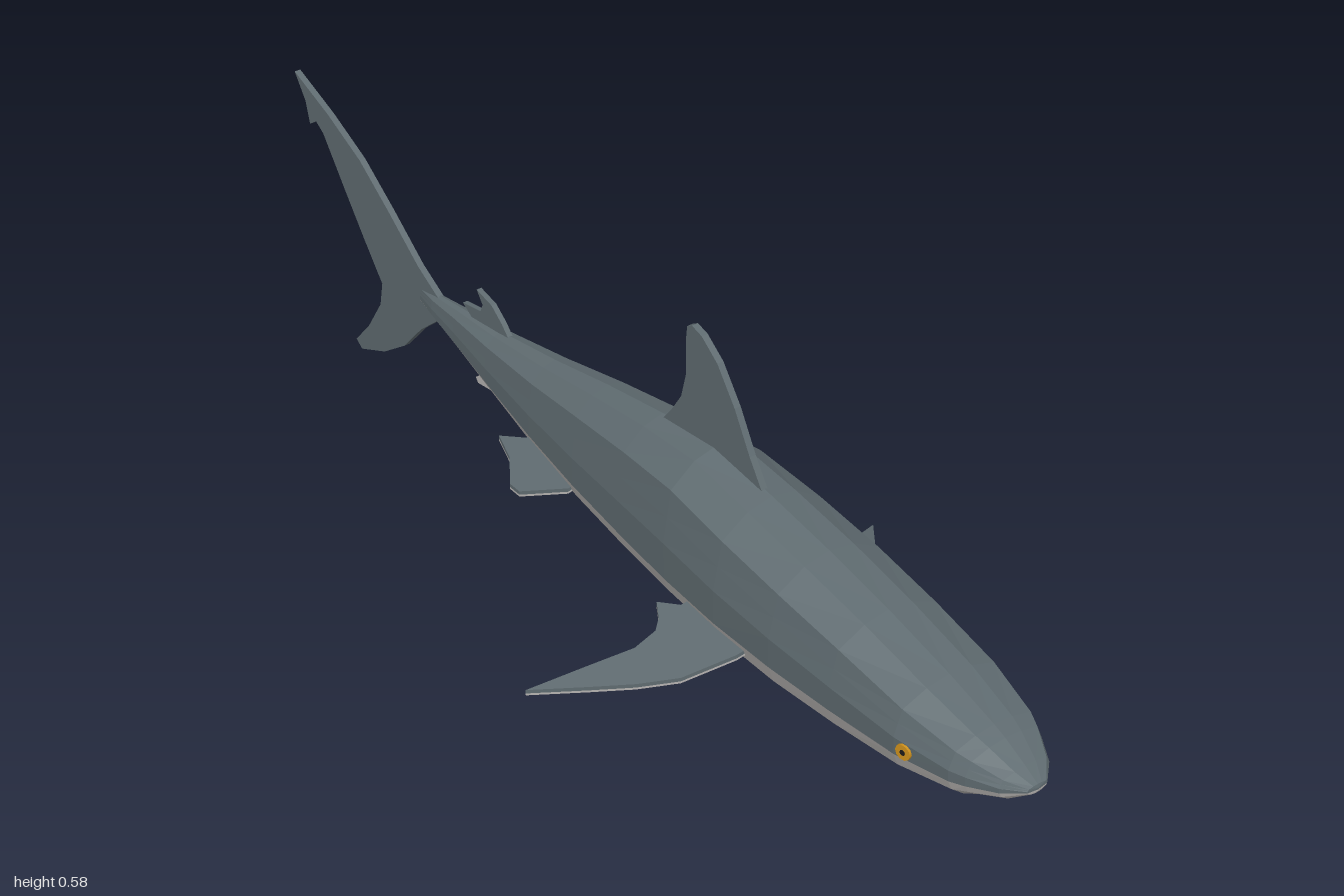
import * as THREE from 'three';

const material = (name, color) => {
  const m = new THREE.MeshStandardMaterial({ color });
  m.name = name;
  return m;
};

// Body stations from nose to tail: z, half width, top, colour line, bottom
const STATIONS = [
  [1.0, 0.0, 0.2, 0.197, 0.194],
  [0.998, 0.02, 0.206, 0.198, 0.19],
  [0.97, 0.05, 0.222, 0.194, 0.168],
  [0.925, 0.076, 0.244, 0.189, 0.15],
  [0.9, 0.087, 0.253, 0.187, 0.134],
  [0.8, 0.106, 0.282, 0.18, 0.11],
  [0.66, 0.113, 0.315, 0.172, 0.09],
  [0.52, 0.117, 0.341, 0.166, 0.077],
  [0.38, 0.115, 0.362, 0.162, 0.077],
  [0.24, 0.106, 0.379, 0.16, 0.083],
  [0.1, 0.092, 0.364, 0.16, 0.088],
  [-0.05, 0.076, 0.338, 0.163, 0.1],
  [-0.2, 0.058, 0.307, 0.172, 0.126],
  [-0.36, 0.037, 0.28, 0.188, 0.165],
  [-0.48, 0.022, 0.266, 0.204, 0.193],
  [-0.56, 0.014, 0.255, 0.216, 0.21],
  [-0.62, 0.004, 0.25, 0.222, 0.218],
];
// Half cross-sections: share of width, share of height away from the colour line
const BACK = [[0, 1], [0.42, 0.95], [0.86, 0.78], [0.93, 0.55], [1, 0.33], [0.98, 0]];
const BELLY = [[0.98, 0], [0.88, 0.38], [0.6, 0.78], [0.3, 0.95], [0, 1]];

// Faceted skin over both sides of the body
function skin(section, limit) {
  const positions = [];
  for (const side of [1, -1]) {
    const point = (s, [fx, fy]) =>
      [side * fx * s[1], s[3] + fy * (s[limit] - s[3]), s[0]];
    for (let j = 0; j < STATIONS.length - 1; j++) {
      for (let i = 0; i < section.length - 1; i++) {
        const a = point(STATIONS[j], section[i]);
        const b = point(STATIONS[j], section[i + 1]);
        const c = point(STATIONS[j + 1], section[i + 1]);
        const d = point(STATIONS[j + 1], section[i]);
        const faces = side > 0 ? [a, b, c, a, c, d] : [a, c, b, a, d, c];
        for (const p of faces) positions.push(...p);
      }
    }
  }
  const g = new THREE.BufferGeometry();
  g.setAttribute('position', new THREE.Float32BufferAttribute(positions, 3));
  g.computeVertexNormals();
  return g;
}

function plate(points, depth) {
  const shape = new THREE.Shape(points.map(([x, y]) => new THREE.Vector2(x, y)));
  return new THREE.ExtrudeGeometry(shape, { depth, bevelEnabled: false });
}

// Upright fin from a (z, y) outline
function uprightFin(points, thickness = 0.012) {
  return plate(points, thickness).translate(0, 0, -thickness / 2).rotateY(-Math.PI / 2);
}

// Sloping side fin from an (x, z) outline; its top face starts at height y
function sideFin(points, side, y, slope, rootX, thickness) {
  const g = plate(points.map(([x, z]) => [x * side, z]), thickness).rotateX(Math.PI / 2);
  const p = g.attributes.position;
  for (let i = 0; i < p.count; i++) {
    p.setY(i, p.getY(i) + y - slope * (Math.abs(p.getX(i)) - rootX));
  }
  g.computeVertexNormals();
  return g;
}

export function createModel() {
  const grey = material('slate grey', 0x5f6b70);
  const pale = material('pale belly', 0xb5b2b0);
  const amber = material('amber eye', 0xd0921c);
  const black = material('dark pupil', 0x1c1a18);

  const model = new THREE.Group();
  model.name = 'shark';
  const add = (name, geometry, mat, parent = model) => {
    const mesh = new THREE.Mesh(geometry, mat);
    mesh.name = name;
    parent.add(mesh);
    return mesh;
  };

  // Body
  add('back', skin(BACK, 2), grey);
  add('belly', skin(BELLY, 4), pale);

  // Upright fins
  add('dorsalFin', uprightFin([
    [0.37, 0.35], [0.33, 0.41], [0.29, 0.48], [0.245, 0.54], [0.205, 0.57], [0.18, 0.577],
    [0.168, 0.57], [0.165, 0.54], [0.167, 0.48], [0.155, 0.43], [0.13, 0.39], [0.1, 0.35],
  ]), grey);
  add('secondDorsalFin', uprightFin([
    [-0.32, 0.27], [-0.35, 0.302], [-0.38, 0.325], [-0.425, 0.335], [-0.408, 0.312],
    [-0.415, 0.295], [-0.47, 0.285], [-0.43, 0.26],
  ], 0.01), grey);
  add('analFin', uprightFin([
    [-0.32, 0.19], [-0.345, 0.162], [-0.38, 0.143], [-0.43, 0.136], [-0.437, 0.145],
    [-0.41, 0.163], [-0.42, 0.2],
  ], 0.01), pale);
  add('tailFin', uprightFin([
    [-0.54, 0.25], [-0.61, 0.29], [-0.7, 0.36], [-0.79, 0.425], [-0.89, 0.473], [-1, 0.515],
    [-0.968, 0.468], [-0.957, 0.425], [-0.935, 0.44], [-0.912, 0.425], [-0.85, 0.34],
    [-0.79, 0.26], [-0.735, 0.19], [-0.745, 0.14], [-0.79, 0.07], [-0.838, 0.015],
    [-0.82, 0.002], [-0.74, 0.038], [-0.67, 0.088], [-0.61, 0.155], [-0.54, 0.215],
  ]), grey);

  const pectoral = [
    [0.08, 0.46], [0.12, 0.45], [0.2, 0.41], [0.25, 0.36], [0.3, 0.3], [0.365, 0.22],
    [0.28, 0.265], [0.21, 0.303], [0.17, 0.305], [0.152, 0.29], [0.135, 0.262],
    [0.115, 0.3], [0.08, 0.31],
  ];
  const pelvic = [
    [0.045, -0.05], [0.072, -0.065], [0.114, -0.15], [0.114, -0.178], [0.088, -0.215],
    [0.075, -0.265], [0.055, -0.21], [0.035, -0.2],
  ];

  for (const side of [1, -1]) {
    const label = side > 0 ? 'left' : 'right';

    // Paired fins, grey above and pale beneath
    for (const [name, outline, y, slope, rootX] of [
      ['PectoralFin', pectoral, 0.156, 0.42, 0.1],
      ['PelvicFin', pelvic, 0.158, 0.9, 0.06],
    ]) {
      const fin = new THREE.Group();
      fin.name = label + name;
      add('finTop', sideFin(outline, side, y, slope, rootX, 0.007), grey, fin);
      add('finUnderside', sideFin(outline, side, y - 0.007, slope, rootX, 0.004), pale, fin);
      model.add(fin);
    }

    // Eye set into the side of the head, turned slightly forward
    const eye = new THREE.Group();
    eye.name = label + 'Eye';
    add('iris', new THREE.CylinderGeometry(0.014, 0.014, 0.016, 10).rotateZ(-Math.PI / 2), amber, eye);
    add('pupil', new THREE.CylinderGeometry(0.005, 0.005, 0.018, 8).rotateZ(-Math.PI / 2), black, eye);
    eye.position.set(side * 0.098, 0.198, 0.82);
    eye.rotation.y = -side * 0.18;
    model.add(eye);
  }
  return model;
}
